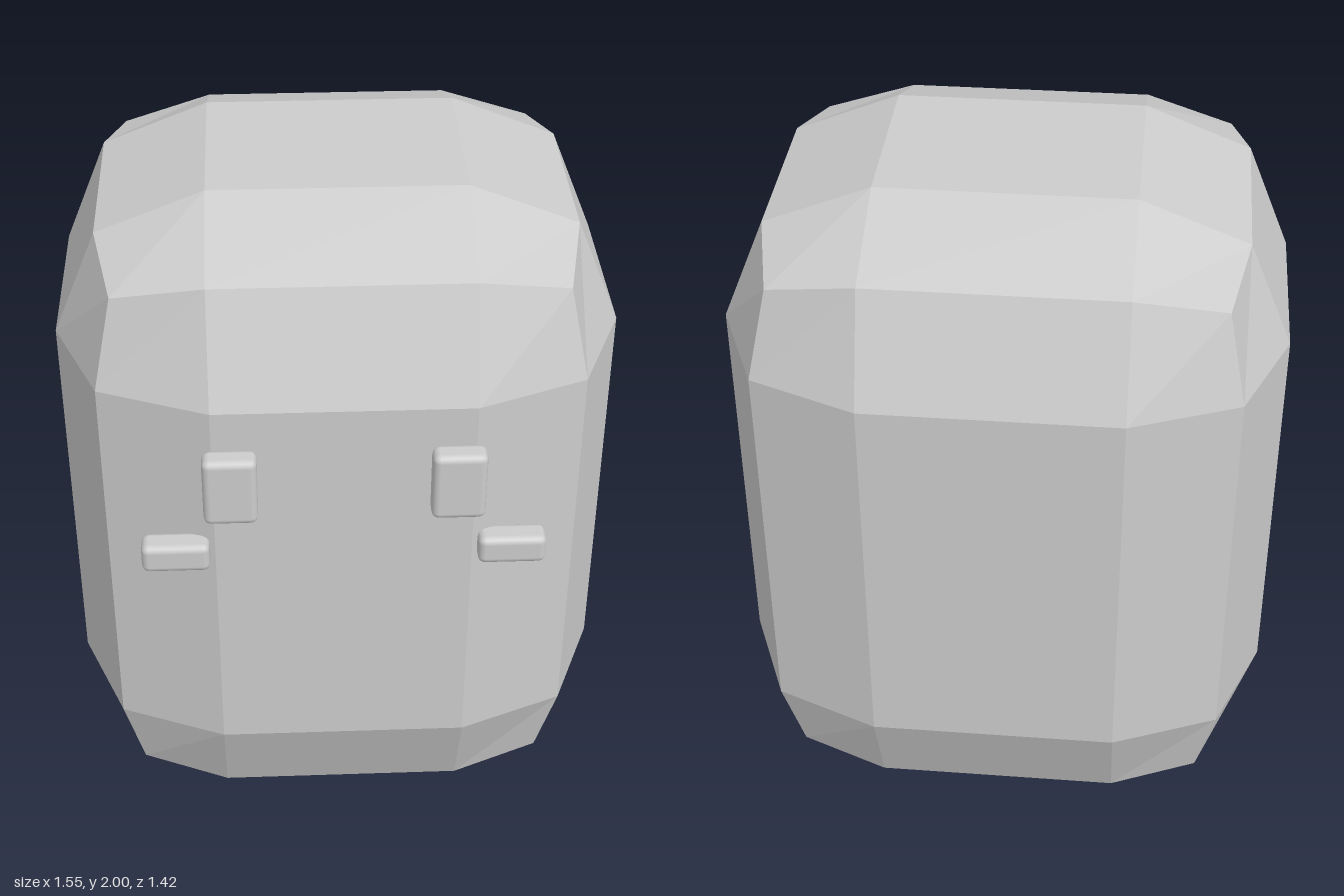
import * as THREE from 'three';
import { RoundedBoxGeometry } from 'three/addons/geometries/RoundedBoxGeometry.js';

const grey = new THREE.MeshStandardMaterial({ color: 0xcccccc });
grey.name = 'plain grey';

// Half-sizes per axis, [x, y, z]
const FULL = [0.775, 1, 0.68]; // middle panel of each face
const EDGE = [0.65, 0.88, 0.56]; // where two faces meet
const CORNER = [0.6, 0.825, 0.505]; // where three faces meet
const INNER = [0.35, 0.575, 0.26]; // lines dividing each face

// Faceted pillow: a 3x3x3 box whose edges and corners are drawn inwards
function bodyGeometry() {
  const geo = new THREE.BoxGeometry(2, 2, 2, 3, 3, 3);
  const pos = geo.attributes.position;
  for (let i = 0; i < pos.count; i++) {
    const p = [pos.getX(i), pos.getY(i), pos.getZ(i)];
    const outer = p.map((v) => Math.abs(v) > 0.9);
    const sizes = [null, FULL, EDGE, CORNER][outer.filter(Boolean).length];
    const q = p.map((v, a) => Math.sign(v) * (outer[a] ? sizes[a] : INNER[a]));
    pos.setXYZ(i, ...q);
  }
  const flat = geo.toNonIndexed();
  flat.computeVertexNormals();
  flat.clearGroups();
  return flat;
}

export function createModel() {
  const model = new THREE.Group();
  model.name = 'blockCreature';

  const add = (name, geo, x, y, z) => {
    const mesh = new THREE.Mesh(geo, grey);
    mesh.name = name;
    mesh.position.set(x, y, z);
    model.add(mesh);
  };

  add('body', bodyGeometry(), 0, 1, -0.03);

  // Face: upright eyes and low, wide cheeks
  const eye = new RoundedBoxGeometry(0.145, 0.205, 0.07, 2, 0.02);
  const cheek = new RoundedBoxGeometry(0.185, 0.086, 0.078, 2, 0.02);
  for (const [side, s] of [['left', 1], ['right', -1]]) {
    add(side + 'Eye', eye, s * 0.303, 1.357, 0.675);
    add(side + 'Cheek', cheek, s * 0.457, 1.122, 0.65);
  }
  return model;
}
